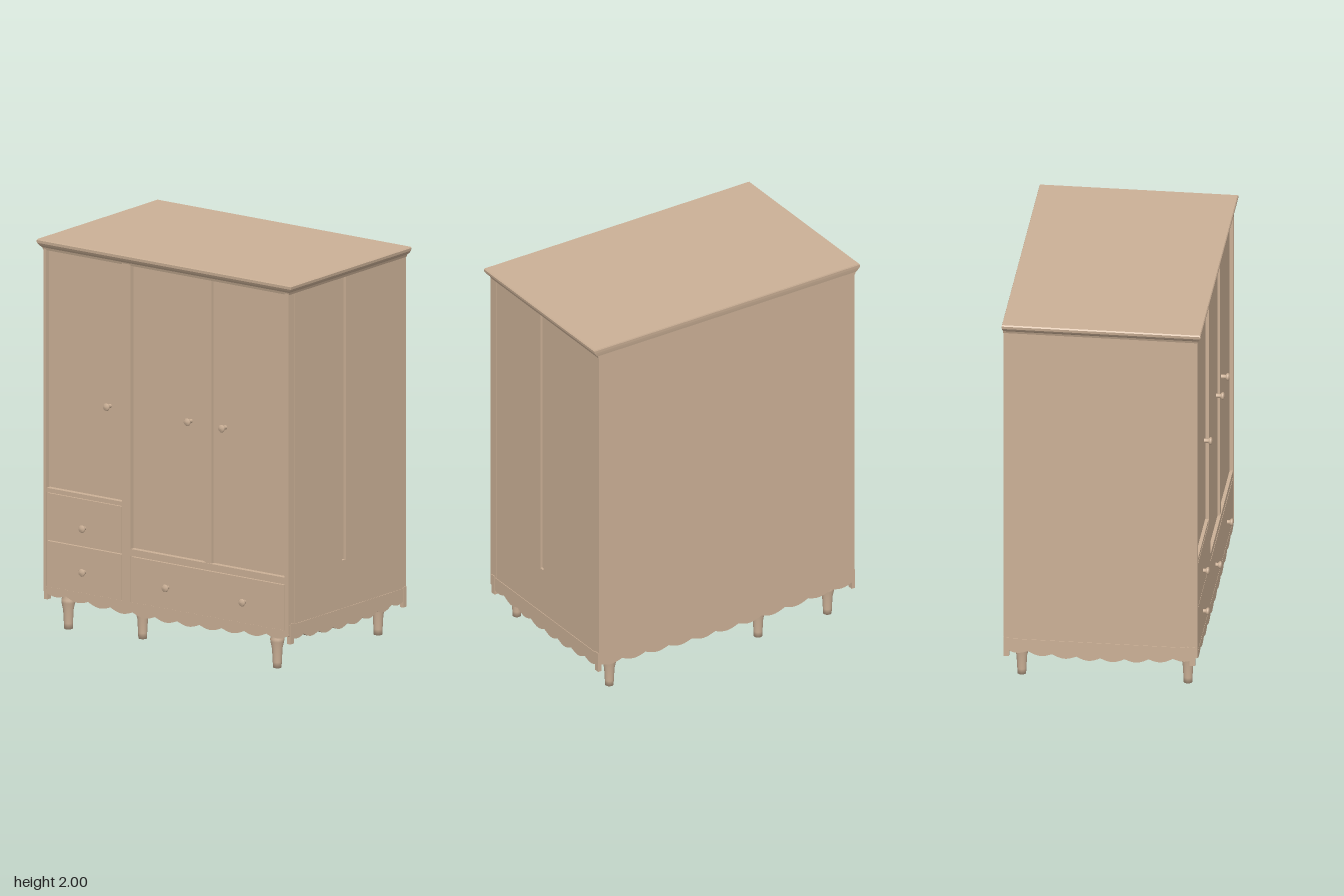
import * as THREE from 'three';

const wood = new THREE.MeshStandardMaterial({ color: 0xcbb096 });
wood.name = 'pale wood';

function add(group, name, geometry, x = 0, y = 0, z = 0) {
  const mesh = new THREE.Mesh(geometry, wood);
  mesh.name = name;
  mesh.position.set(x, y, z);
  group.add(mesh);
  return mesh;
}

// Box given by its limits on each axis
function slab(group, name, [x0, x1], [y0, y1], [z0, z1]) {
  return add(group, name, new THREE.BoxGeometry(x1 - x0, y1 - y0, z1 - z0),
    (x0 + x1) / 2, (y0 + y1) / 2, (z0 + z1) / 2);
}

// Stack of rectangles [y, halfWidth, zBack, zFront] joined into a moulded slab
function moulding(levels) {
  const p = [];
  const ring = ([y, w, b, f]) => [[-w, y, f], [w, y, f], [w, y, b], [-w, y, b]];
  const quad = (a, b, c, d) => p.push(...a, ...b, ...c, ...a, ...c, ...d);
  for (let i = 0; i < levels.length - 1; i++) {
    const lo = ring(levels[i]), hi = ring(levels[i + 1]);
    for (let k = 0; k < 4; k++) {
      const n = (k + 1) % 4;
      quad(lo[k], lo[n], hi[n], hi[k]);
    }
  }
  const bottom = ring(levels[0]), top = ring(levels[levels.length - 1]);
  quad(...top);
  quad(...bottom.reverse());
  const g = new THREE.BufferGeometry();
  g.setAttribute('position', new THREE.Float32BufferAttribute(p, 3));
  g.computeVertexNormals();
  return g;
}

// Apron board with a waved lower edge, centred on its length
function apron(length, top, waves, depth) {
  const h = length / 2, shape = new THREE.Shape();
  shape.moveTo(h, top);
  shape.lineTo(-h, top);
  const steps = waves * 10;
  for (let i = 0; i <= steps; i++) {
    const t = i / steps;
    const sag = 0.03 * Math.sin(Math.PI * t);
    const scallop = 0.018 * Math.abs(Math.sin(Math.PI * waves * t));
    shape.lineTo(-h + length * t, 0.19 - sag - scallop);
  }
  shape.closePath();
  return new THREE.ExtrudeGeometry(shape, { depth, bevelEnabled: false });
}

export function createModel() {
  const model = new THREE.Group();
  model.name = 'wardrobe';

  // Carcass, and side and back panels
  slab(model, 'carcass', [-0.752, 0.752], [0.22, 1.96], [-0.49, 0.445]);
  slab(model, 'backPanel', [-0.765, 0.765], [0.2, 1.955], [-0.5, -0.485]);
  slab(model, 'leftSideBackPanel', [0.745, 0.765], [0.24, 1.955], [-0.485, 0]);
  slab(model, 'leftSideFrontPanel', [0.745, 0.765], [0.24, 1.955], [0.03, 0.425]);
  slab(model, 'leftSideLowerPanel', [0.745, 0.765], [0.24, 0.49], [0, 0.03]);
  slab(model, 'rightSidePanel', [-0.765, -0.745], [0.24, 1.955], [-0.485, 0.425]);

  // Moulded top, flush at the back
  add(model, 'top', moulding([
    [1.945, 0.767, -0.5, 0.474], [1.958, 0.772, -0.5, 0.478],
    [1.968, 0.784, -0.502, 0.486], [1.98, 0.793, -0.504, 0.493],
    [1.994, 0.795, -0.505, 0.494], [2.0, 0.79, -0.503, 0.49],
  ]));

  // Face frame
  const front = [0.43, 0.476];
  slab(model, 'outerStile', [-0.766, -0.748], [0.2, 1.955], front);
  slab(model, 'outerStile', [0.742, 0.766], [0.2, 1.955], front);
  slab(model, 'middleStile', [-0.275, -0.222], [0.2, 1.955], front);
  slab(model, 'doorStile', [0.234, 0.278], [0.48, 1.955], [0.43, 0.468]);
  slab(model, 'wideRail', [-0.222, 0.742], [0.452, 0.487], [0.43, 0.473]);
  slab(model, 'smallRail', [-0.748, -0.275], [0.7, 0.722], [0.43, 0.473]);

  // Recessed doors
  const doors = [[-0.745, -0.279, 0.726], [-0.218, 0.23, 0.491], [0.282, 0.738, 0.491]];
  for (const [x0, x1, y0] of doors) {
    slab(model, 'door', [x0, x1], [y0, 1.95], [0.43, 0.457]);
  }

  // Drawer fronts
  const drawers = [[-0.745, -0.279, 0.455, 0.697], [-0.745, -0.279, 0.21, 0.45],
    [-0.218, 0.738, 0.21, 0.448]];
  for (const [x0, x1, y0, y1] of drawers) {
    slab(model, 'drawerFront', [x0, x1], [y0, y1], [0.43, 0.474]);
  }

  // Turned knobs
  const knobProfile = [[0.011, -0.01], [0.01, 0.012], [0.018, 0.018], [0.02, 0.024],
    [0.016, 0.03], [0, 0.032]].map(([r, y]) => new THREE.Vector2(r, y));
  const knobGeometry = new THREE.LatheGeometry(knobProfile, 16).rotateX(Math.PI / 2);
  const knobs = [[-0.36, 1.2, 0.47], [0.145, 1.2, 0.47], [0.36, 1.2, 0.47],
    [-0.51, 0.55, 0.474], [-0.51, 0.325, 0.474], [0.01, 0.325, 0.474], [0.49, 0.325, 0.474]];
  for (const [x, y, z] of knobs) add(model, 'knob', knobGeometry, x, y, z);

  // Scalloped aprons on all four sides
  add(model, 'frontApron', apron(1.53, 0.215, 11, 0.025), 0, 0, 0.45);
  add(model, 'backApron', apron(1.53, 0.24, 11, 0.018), 0, 0, -0.5);
  for (const side of [-1, 1]) {
    const board = add(model, 'sideApron', apron(0.97, 0.243, 8, 0.02), side * 0.758 - 0.01, 0, -0.012);
    board.rotation.y = Math.PI / 2;
    for (const z of [-0.485, 0.45]) {
      slab(model, 'cornerFoot', [side * 0.759 - 0.01, side * 0.759 + 0.01],
        [0.145, 0.25], [z - 0.014, z + 0.014]);
    }
  }

  // Rails under the floor
  slab(model, 'lengthwiseRail', [-0.74, 0.74], [0.195, 0.225], [-0.02, 0.02]);
  slab(model, 'crossRail', [-0.265, -0.215], [0.19, 0.225], [-0.48, 0.45]);
  for (const z of [-0.42, 0.4]) {
    slab(model, 'legRail', [-0.74, 0.74], [0.195, 0.225], [z - 0.025, z + 0.025]);
  }

  // Six turned legs
  const legProfile = [[0, 0], [0.022, 0], [0.023, 0.03], [0.027, 0.1], [0.035, 0.135],
    [0.036, 0.15], [0.028, 0.17], [0.034, 0.18], [0.034, 0.225]]
    .map(([r, y]) => new THREE.Vector2(r, y));
  const legGeometry = new THREE.LatheGeometry(legProfile, 16);
  for (const [x, zFront] of [[-0.655, 0.415], [-0.24, 0.35], [0.65, 0.415]]) {
    add(model, 'frontLeg', legGeometry, x, 0, zFront);
    add(model, 'backLeg', legGeometry, x, 0, -0.42);
  }
  return model;
}
